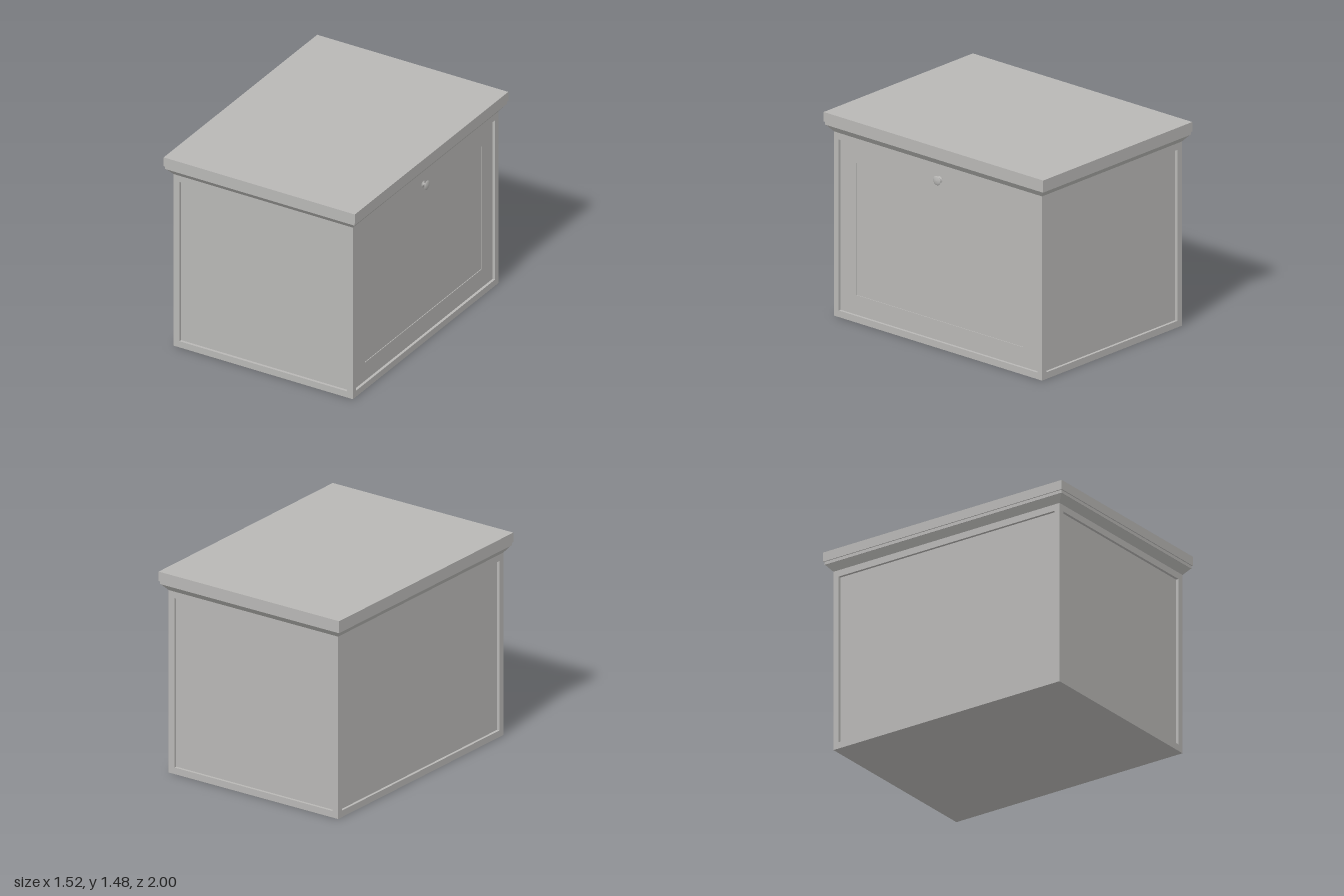
import * as THREE from 'three';

const BODY = { x: 0.715, z: 0.948, h: 1.338 };
const RECESS = 0.02;
const STEP = 0.005;

export function createModel() {
  const model = new THREE.Group();
  model.name = 'cabinet';
  const grey = new THREE.MeshStandardMaterial({ color: 0xb8b7b5 });
  grey.name = 'warm grey';

  const add = (name, geometry, parent = model) => {
    const mesh = new THREE.Mesh(geometry, grey);
    mesh.name = name;
    parent.add(mesh);
    return mesh;
  };

  // Box between two heights, given half sizes
  const slab = (name, hx, hz, y0, y1) => {
    const g = new THREE.BoxGeometry(hx * 2, y1 - y0, hz * 2);
    g.translate(0, (y0 + y1) / 2, 0);
    return add(name, g);
  };

  // Flat rectangular frame: outer half width, hole half width, hole heights
  const frame = (half, holeHalf, y0, y1, depth) => {
    const shape = new THREE.Shape([
      new THREE.Vector2(-half, 0), new THREE.Vector2(half, 0),
      new THREE.Vector2(half, BODY.h), new THREE.Vector2(-half, BODY.h),
    ]);
    shape.holes.push(new THREE.Path([
      new THREE.Vector2(-holeHalf, y0), new THREE.Vector2(-holeHalf, y1),
      new THREE.Vector2(holeHalf, y1), new THREE.Vector2(holeHalf, y0),
    ]));
    return new THREE.ExtrudeGeometry(shape, { depth, bevelEnabled: false });
  };

  // Core, whose faces are the recessed panels; the door side sits one step deeper
  const innerX = BODY.x - RECESS;
  const innerZ = BODY.z - RECESS;
  const core = new THREE.BoxGeometry(innerX * 2 - STEP, BODY.h, innerZ * 2);
  core.translate(-STEP / 2, BODY.h / 2, 0);
  add('panels', core);

  // Raised frames around the four faces
  for (const [name, turn] of [['frontFrame', 0], ['backFrame', Math.PI]]) {
    const g = frame(BODY.x, 0.667, 0.048, 1.29, RECESS);
    g.translate(0, 0, innerZ).rotateY(turn);
    add(name, g);
  }
  for (const [name, turn] of [['leftFrame', Math.PI / 2], ['rightFrame', -Math.PI / 2]]) {
    const g = frame(innerZ, 0.905, 0.048, 1.29, RECESS);
    g.translate(0, 0, innerX).rotateY(turn);
    add(name, g);
  }

  // Door border around its shallow sunken centre
  const door = frame(innerZ, 0.76, 0.19, 1.15, STEP);
  door.translate(0, 0, innerX - STEP).rotateY(Math.PI / 2);
  add('doorBorder', door);

  // Flared moulding: box with its lower corners drawn in to the body
  const cornice = slab('cornice', 0.752, 0.99, 1.338, 1.387);
  const p = cornice.geometry.attributes.position;
  for (let i = 0; i < p.count; i++) {
    if (p.getY(i) < 1.36) {
      p.setX(i, Math.sign(p.getX(i)) * BODY.x);
      p.setZ(i, Math.sign(p.getZ(i)) * BODY.z);
    }
  }
  cornice.geometry = cornice.geometry.toNonIndexed();
  cornice.geometry.computeVertexNormals();
  slab('corniceBand', 0.755, 0.993, 1.387, 1.41);
  slab('top', 0.762, 1, 1.41, 1.479);

  // Turned knob: flange, stem and domed head along +x
  const profile = [
    [0, 0], [0.024, 0], [0.024, 0.004], [0.009, 0.008], [0.008, 0.026],
    [0.033, 0.03], [0.034, 0.033], [0.026, 0.037], [0.013, 0.04], [0, 0.041],
  ].map(([r, y]) => new THREE.Vector2(r, y));
  const knob = new THREE.LatheGeometry(profile, 32);
  knob.rotateZ(-Math.PI / 2).translate(innerX - 0.001, 1.22, 0);
  add('knob', knob);

  return model;
}
